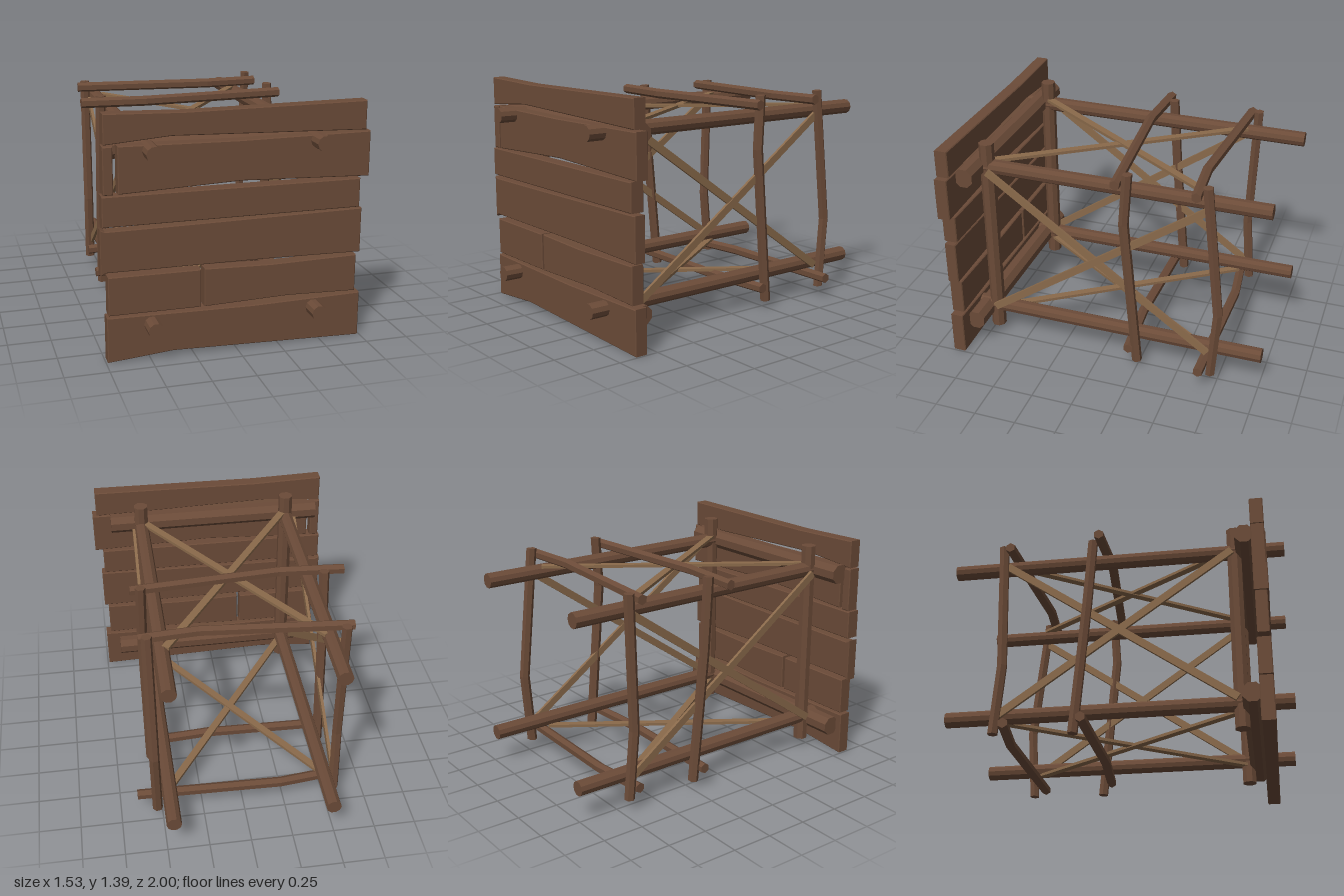
import * as THREE from 'three';

export function createModel() {
  const model = new THREE.Group();
  const wood = new THREE.MeshStandardMaterial({ color: 0x6b4b38, flatShading: true });
  wood.name = 'dark wood';
  const lath = new THREE.MeshStandardMaterial({ color: 0x8a6a4b, flatShading: true });
  lath.name = 'pale lath';
  const V = (p) => new THREE.Vector3(...p);

  function add(name, geometry, material = wood) {
    const mesh = new THREE.Mesh(geometry, material);
    mesh.name = name;
    model.add(mesh);
    return mesh;
  }

  // Round timber through a list of points, its rings moved onto the path
  function timber(name, points, radius, sides) {
    const pts = points.map(V);
    const n = pts.length - 1;
    const g = new THREE.CylinderGeometry(radius, radius, 1, sides, n);
    const axis = pts[n].clone().sub(pts[0]).normalize();
    const turn = new THREE.Quaternion().setFromUnitVectors(new THREE.Vector3(0, 1, 0), axis);
    const spin = new THREE.Quaternion().setFromAxisAngle(new THREE.Vector3(0, 1, 0), Math.PI / sides);
    const pos = g.attributes.position;
    const v = new THREE.Vector3();
    for (let i = 0; i < pos.count; i++) {
      v.fromBufferAttribute(pos, i);
      const ring = Math.round((v.y + 0.5) * n);
      v.y = 0;
      v.applyQuaternion(spin).applyQuaternion(turn).add(pts[ring]);
      pos.setXYZ(i, v.x, v.y, v.z);
    }
    g.computeVertexNormals();
    return add(name, g);
  }

  // Flat lath between two points, thin along the given normal
  function brace(name, a, b, normal) {
    const p = V(a), q = V(b), n = V(normal);
    const dir = q.clone().sub(p);
    const g = new THREE.BoxGeometry(dir.length(), 0.045, 0.018);
    dir.normalize();
    const side = new THREE.Vector3().crossVectors(n, dir);
    const m = new THREE.Matrix4().makeBasis(dir, side, n);
    m.setPosition(p.add(q).multiplyScalar(0.5));
    add(name, g.applyMatrix4(m), lath);
  }

  // Plank outline, bottom edge left to right, then top edge right to left
  function plank(outline, back = 0.81, front = 0.89) {
    const shape = new THREE.Shape(outline.map(([x, y]) => new THREE.Vector2(x, y)));
    const b = 0.005;
    const g = new THREE.ExtrudeGeometry(shape, {
      depth: front - back - 2 * b, bevelThickness: b, bevelSize: b, bevelOffset: -b, bevelSegments: 1,
    });
    g.translate(0, 0, back + b);
    add('plank', g);
  }

  // Front wall of uneven planks
  plank([[-0.74, 0.005], [-0.37, 0.037], [0.74, 0.005], [0.74, 0.27], [0.1, 0.257], [-0.74, 0.268]]);
  plank([[-0.73, 0.28], [-0.21, 0.28], [-0.21, 0.5], [-0.73, 0.502]]);
  plank([[-0.19, 0.28], [0.3, 0.295], [0.71, 0.283], [0.71, 0.502], [0.2, 0.492], [-0.19, 0.502]]);
  plank([[-0.767, 0.512], [-0.74, 0.527], [0.15, 0.525], [0.735, 0.515], [0.735, 0.777],
    [-0.2, 0.765], [-0.74, 0.76], [-0.767, 0.772]], 0.815, 0.885);
  plank([[-0.755, 0.785], [0.715, 0.787], [0.715, 0.955], [-0.755, 0.955]], 0.81, 0.895);
  plank([[-0.745, 0.96], [-0.69, 0.96], [-0.69, 1.222], [-0.745, 1.222]]);
  plank([[-0.665, 0.962], [0.02, 0.99], [0.765, 0.965], [0.765, 1.223], [0, 1.215], [-0.665, 1.223]], 0.815, 0.895);
  plank([[-0.74, 1.23], [-0.37, 1.26], [0.74, 1.23], [0.74, 1.395], [-0.3, 1.385], [-0.74, 1.397]]);

  // Long rails, posts and cross beams
  const xs = [-0.49, 0.455];
  const ys = [0.21, 1.19];
  for (const x of xs) {
    for (const y of ys) timber('rail', [[x, y, -1], [x, y, 1]], 0.045, 10);
    timber('post', [[x, 0.06, 0.705], [x, 1.34, 0.705]], 0.045, 8);
  }
  for (const y of [0.19, 1.19]) timber('crossBeam', [[-0.7, y, 0.77], [0.65, y, 0.77]], 0.061, 8);

  // Crossed laths on the top, the bottom and both sides
  for (const [y, s] of [[0.17, -1], [1.225, 1]]) {
    brace('flatBrace', [-0.47, y, 0.69], [0.435, y, -0.64], [0, 1, 0]);
    brace('flatBrace', [-0.47, y - s * 0.006, -0.64], [0.435, y - s * 0.006, 0.69], [0, 1, 0]);
  }
  for (const [x, s] of [[-0.553, -1], [0.513, 1]]) {
    brace('sideBrace', [x, 0.225, 0.69], [x + 0.01, 1.18, -0.67], [1, 0, 0]);
    brace('sideBrace', [x - s * 0.006, 1.175, 0.69], [x + 0.004, 0.2, -0.68], [1, 0, 0]);
  }

  // Crooked sticks lashed around the frame
  const sticks = [
    [[-0.62, 1.27, -0.64], [0.24, 1.27, -0.57], [0.58, 1.27, -0.595]],
    [[-0.69, 1.27, -0.085], [-0.3, 1.27, -0.06], [0.59, 1.27, -0.13]],
    [[-0.58, 0.14, -0.64], [-0.23, 0.14, -0.68], [0.645, 0.14, -0.66]],
    [[-0.61, 0.14, -0.19], [0.15, 0.14, -0.17], [0.56, 0.14, -0.2]],
    [[0.53, 1.32, -0.185], [0.535, 1.0, -0.165], [0.53, 0.05, -0.25]],
    [[0.535, 1.32, -0.65], [0.535, 0.5, -0.74], [0.53, 0.06, -0.71]],
    [[-0.56, 1.3, -0.14], [-0.565, 0.85, -0.17], [-0.56, 0.06, -0.24]],
    [[-0.565, 1.3, -0.69], [-0.565, 0.5, -0.665], [-0.56, 0.08, -0.7]],
  ];
  for (const path of sticks) timber('stick', path, 0.031, 6);

  return model;
}
